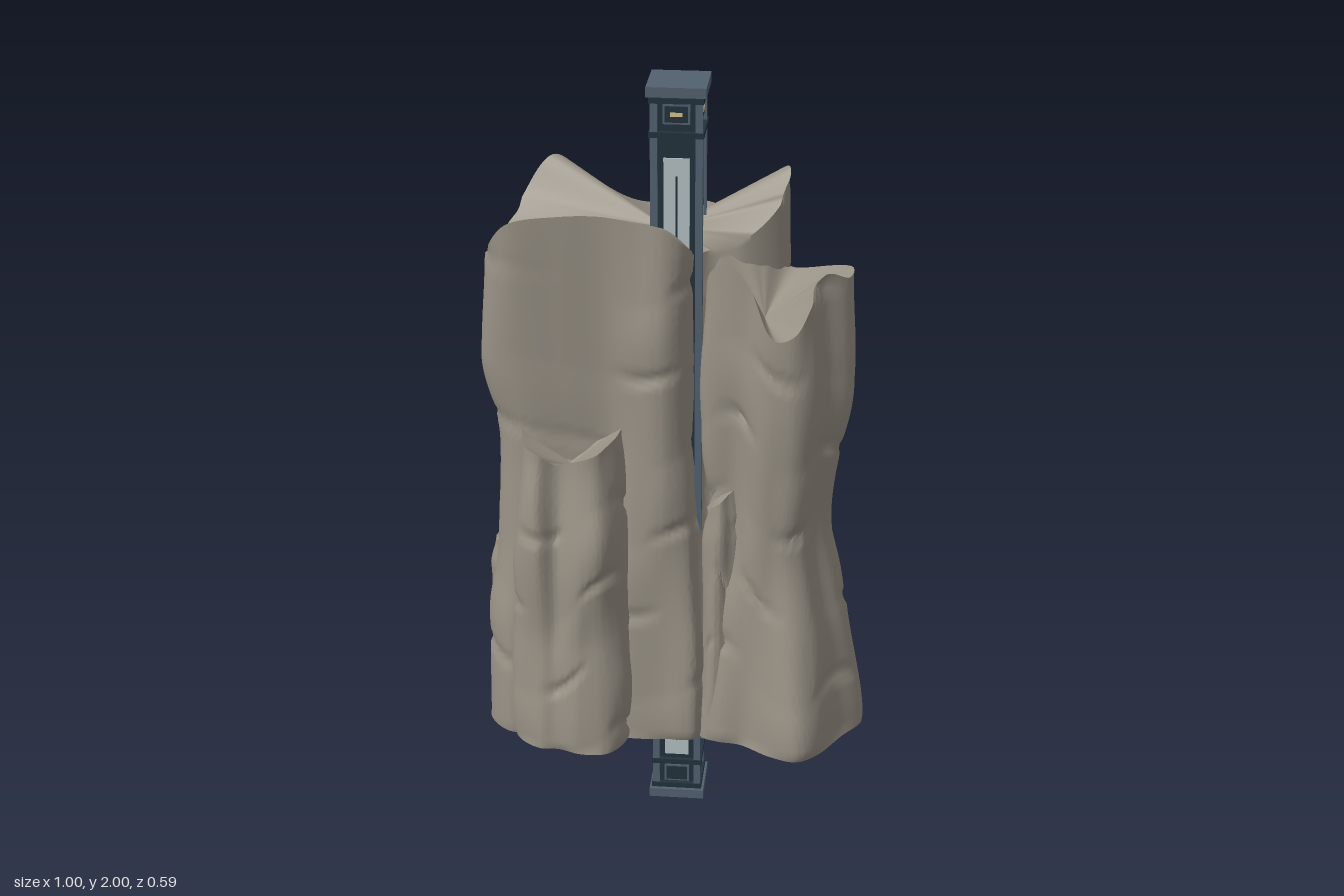
import * as THREE from 'three';
import { toCreasedNormals } from 'three/addons/utils/BufferGeometryUtils.js';

const BASE = 0.26;
const rockMat = new THREE.MeshStandardMaterial({ color: 0x989185 });
const frameMat = new THREE.MeshStandardMaterial({ color: 0x22323c });
const plateMat = new THREE.MeshStandardMaterial({ color: 0x52616f });
const glassMat = new THREE.MeshStandardMaterial({ color: 0xb4c0c4 });
const lampMat = new THREE.MeshStandardMaterial({ color: 0xd8c08a });

// Blends keys of [t, side scale, back scale, front scale]
function keyed(keys, t) {
  let i = 0;
  while (i < keys.length - 2 && t > keys[i + 1][0]) i++;
  const [a, b] = [keys[i], keys[i + 1]];
  const k = THREE.MathUtils.smoothstep(t, a[0], b[0]);
  return [1, 2, 3].map((j) => a[j] + (b[j] - a[j]) * k);
}

// Slanted stone ledges: soft notches that come and go around the column
function ledge(x, y, z, seed) {
  const a = Math.atan2(z, x);
  const s = y * 4.6 + 0.3 * Math.sin(a + seed) + 0.15 * Math.sin(a * 3 + seed * 2);
  const row = Math.floor(s), f = s - row;
  const gate = Math.max(0, Math.sin(a * 3 + row * 2.4 + seed));
  const notch = f < 0.2 ? -Math.sin(Math.PI * f / 0.2) : 0.5 * Math.sin(Math.PI * (f - 0.2) / 0.8);
  return 0.011 * gate * notch + 0.005 * Math.sin(a * 5 + y * 4 + seed);
}

// Lofts a rock column. Each point is [top x, top z, top y, base x, base z], clockwise from above.
function rockColumn(name, pts, centre, keys, seed, cols = 120, rows = 70, rise = 1.6) {
  const curve = (f) => new THREE.CatmullRomCurve3(pts.map(f), true, 'centripetal');
  const top = curve((p) => new THREE.Vector3(p[0], p[2], p[1]));
  const base = curve((p) => new THREE.Vector3(p[3], BASE, p[4]));
  const [cx, cy, cz] = centre;
  const pos = [], idx = [];
  for (let r = 0; r <= rows; r++) {
    const t = r / rows, flare = THREE.MathUtils.smoothstep(t * rise, 0, 1);
    const [sx, sBack, sFront] = keyed(keys, t);
    for (let c = 0; c < cols; c++) {
      const a = top.getPoint(c / cols), b = base.getPoint(c / cols);
      const y = BASE + (a.y - BASE) * t;
      const p = b.lerp(a, flare);
      const dx = (p.x - cx) * sx, dz = (p.z - cz) * (p.z < cz ? sBack : sFront);
      const k = 1 + (t > 0 ? ledge(dx, y, dz, seed) / Math.max(0.08, Math.hypot(dx, dz)) : 0);
      pos.push(cx + dx * k, y, cz + dz * k);
    }
  }
  for (let r = 0; r < rows; r++) {
    for (let c = 0; c < cols; c++) {
      const n = (c + 1) % cols, a = r * cols + c, b = r * cols + n;
      idx.push(a, a + cols, b, b, a + cols, b + cols);
    }
  }
  // broken top and flat underside
  const topC = pos.length / 3, last = rows * cols;
  pos.push(cx, cy, cz, cx, BASE, cz);
  for (let c = 0; c < cols; c++) {
    const n = (c + 1) % cols;
    idx.push(topC, last + n, last + c, topC + 1, c, n);
  }
  const g = new THREE.BufferGeometry();
  g.setAttribute('position', new THREE.Float32BufferAttribute(pos, 3));
  g.setIndex(idx);
  const mesh = new THREE.Mesh(toCreasedNormals(g, 0.9), rockMat);
  mesh.name = name;
  return mesh;
}

function box(parent, name, mat, w, h, d, x, y, z) {
  const m = new THREE.Mesh(new THREE.BoxGeometry(w, h, d), mat);
  m.position.set(x, y, z);
  m.name = name;
  parent.add(m);
}

// Square lamp post running through the rock
function buildPost() {
  const post = new THREE.Group();
  post.name = 'post';
  box(post, 'postCore', frameMat, 0.108, 1.96, 0.108, 0, 1, 0);
  for (const y of [0.0125, 1.9875]) box(post, 'endPlate', plateMat, 0.146, 0.025, 0.146, 0, y, 0);
  for (const y of [0.035, 0.11, 1.88, 1.965]) box(post, 'band', frameMat, 0.134, 0.014, 0.134, 0, y, 0);
  for (const x of [-1, 1]) for (const z of [-1, 1])
    box(post, 'cornerRail', plateMat, 0.018, 1.95, 0.018, x * 0.055, 1, z * 0.055);
  for (let i = 0; i < 4; i++) {
    const side = new THREE.Group();
    side.name = 'postSide';
    side.rotation.y = i * Math.PI / 2;
    box(side, 'window', glassMat, 0.064, 1.69, 0.006, 0, 0.975, 0.055);
    box(side, 'windowBar', frameMat, 0.004, 1.6, 0.004, 0, 0.975, 0.058);
    for (const y of [0.07, 1.93]) {
      box(side, 'lampFrame', plateMat, 0.066, 0.05, 0.006, 0, y, 0.055);
      box(side, 'lampPanel', frameMat, 0.056, 0.04, 0.006, 0, y, 0.057);
    }
    box(side, 'lamp', lampMat, 0.03, 0.01, 0.006, 0, 1.93, 0.059);
    post.add(side);
  }
  return post;
}

export function createModel() {
  const model = new THREE.Group();
  const rock = new THREE.Group();
  rock.name = 'rock';

  rock.add(rockColumn('mainRock', [
    [-0.465, 0.10, 1.58, -0.495, 0.11], [-0.455, -0.02, 1.57, -0.475, 0.0],
    [-0.41, -0.12, 1.65, -0.43, -0.10], [-0.33, -0.17, 1.745, -0.40, -0.15],
    [-0.25, -0.19, 1.69, -0.28, -0.20], [-0.15, -0.17, 1.64, -0.18, -0.24],
    [-0.10, -0.22, 1.61, -0.09, -0.27], [-0.04, -0.27, 1.60, 0.0, -0.285],
    [0.04, -0.275, 1.60, 0.09, -0.295], [0.11, -0.22, 1.61, 0.15, -0.26],
    [0.19, -0.17, 1.68, 0.22, -0.19], [0.265, -0.12, 1.75, 0.30, -0.17],
    [0.25, -0.06, 1.68, 0.32, -0.08], [0.16, 0.005, 1.60, 0.25, 0.05],
    [0.075, 0.01, 1.57, 0.12, 0.12], [0.045, 0.05, 1.57, 0.08, 0.15],
    [0.035, 0.11, 1.61, 0.055, 0.185], [-0.02, 0.15, 1.665, -0.02, 0.19],
    [-0.10, 0.14, 1.68, -0.10, 0.195], [-0.18, 0.125, 1.69, -0.20, 0.18],
    [-0.28, 0.135, 1.69, -0.32, 0.18], [-0.40, 0.145, 1.67, -0.43, 0.19],
  ], [-0.03, 1.61, -0.03],
  [[0, 1, 1, 1], [0.22, 1.01, 0.8, 1], [0.42, 0.97, 0.67, 1],
    [0.62, 0.95, 0.82, 0.98], [0.8, 1.03, 0.97, 1], [1, 1, 1, 1]],
  0.7, 200, 90));

  rock.add(rockColumn('rightRock', [
    [0.075, 0.09, 1.50, 0.07, 0.12], [0.11, 0.03, 1.56, 0.12, 0.02],
    [0.20, -0.02, 1.53, 0.22, -0.08], [0.28, -0.07, 1.50, 0.33, -0.12],
    [0.39, -0.05, 1.52, 0.42, -0.09], [0.43, 0.0, 1.535, 0.475, -0.02],
    [0.42, 0.06, 1.53, 0.495, 0.05], [0.37, 0.11, 1.555, 0.445, 0.13],
    [0.345, 0.17, 1.50, 0.38, 0.235], [0.30, 0.20, 1.43, 0.33, 0.27],
    [0.25, 0.195, 1.415, 0.26, 0.25], [0.19, 0.175, 1.53, 0.18, 0.20],
    [0.14, 0.15, 1.59, 0.12, 0.19], [0.09, 0.13, 1.56, 0.075, 0.17],
  ], [0.22, 1.42, 0.07],
  [[0, 1, 1, 1], [0.25, 0.95, 1, 0.98], [0.46, 0.85, 0.95, 0.93],
    [0.8, 1.07, 1, 1.06], [1, 1, 1, 1]], 2.1, 120, 70, 2));

  rock.add(rockColumn('frontLowRock', [
    [-0.385, 0.15, 1.12, -0.42, 0.15], [-0.36, 0.08, 1.13, -0.38, 0.06],
    [-0.25, 0.07, 1.10, -0.25, 0.05], [-0.15, 0.09, 1.13, -0.13, 0.06],
    [-0.14, 0.17, 1.125, -0.115, 0.19], [-0.18, 0.22, 1.10, -0.16, 0.275],
    [-0.23, 0.22, 1.08, -0.23, 0.285], [-0.29, 0.20, 1.055, -0.29, 0.265],
    [-0.33, 0.215, 1.09, -0.34, 0.265], [-0.37, 0.19, 1.10, -0.40, 0.22],
  ], [-0.26, 1.03, 0.14],
  [[0, 1, 1, 1], [0.35, 1.05, 1, 0.97], [0.7, 1.12, 1, 1.4], [1, 1, 1, 1]], 4.3, 90, 60, 1.2));

  // Smaller slabs leaning against the main columns
  const slab = (name, x, z, bx, bz, rx, rz, y, slope, seed) => {
    const pts = [];
    for (let i = 0; i < 9; i++) {
      const a = Math.PI + i * Math.PI * 2 / 9, k = 1 + 0.08 * Math.sin(i * 2.3 + seed);
      const c = Math.cos(a) * k, s = Math.sin(a) * k;
      pts.push([x + rx * c, z + rz * s, y + slope * c, bx + rx * 1.2 * c, bz + rz * 1.1 * s]);
    }
    rock.add(rockColumn(name, pts, [x, y + 0.01, z],
      [[0, 1, 1, 1], [0.5, 1, 0.9, 1], [0.85, 1.1, 1, 1], [1, 0.85, 0.85, 0.85]], seed, 60, 50));
  };
  slab('backRightSlab', 0.27, -0.10, 0.30, -0.10, 0.085, 0.075, 1.47, -0.03, 1.3);
  slab('leftLowSlab', -0.42, 0.04, -0.42, 0.04, 0.06, 0.09, 0.8, 0.03, 3.2);
  slab('frontCreviceSlab', 0.12, 0.12, 0.12, 0.13, 0.04, 0.05, 0.95, 0.03, 2.7);

  model.add(rock, buildPost());
  return model;
}
